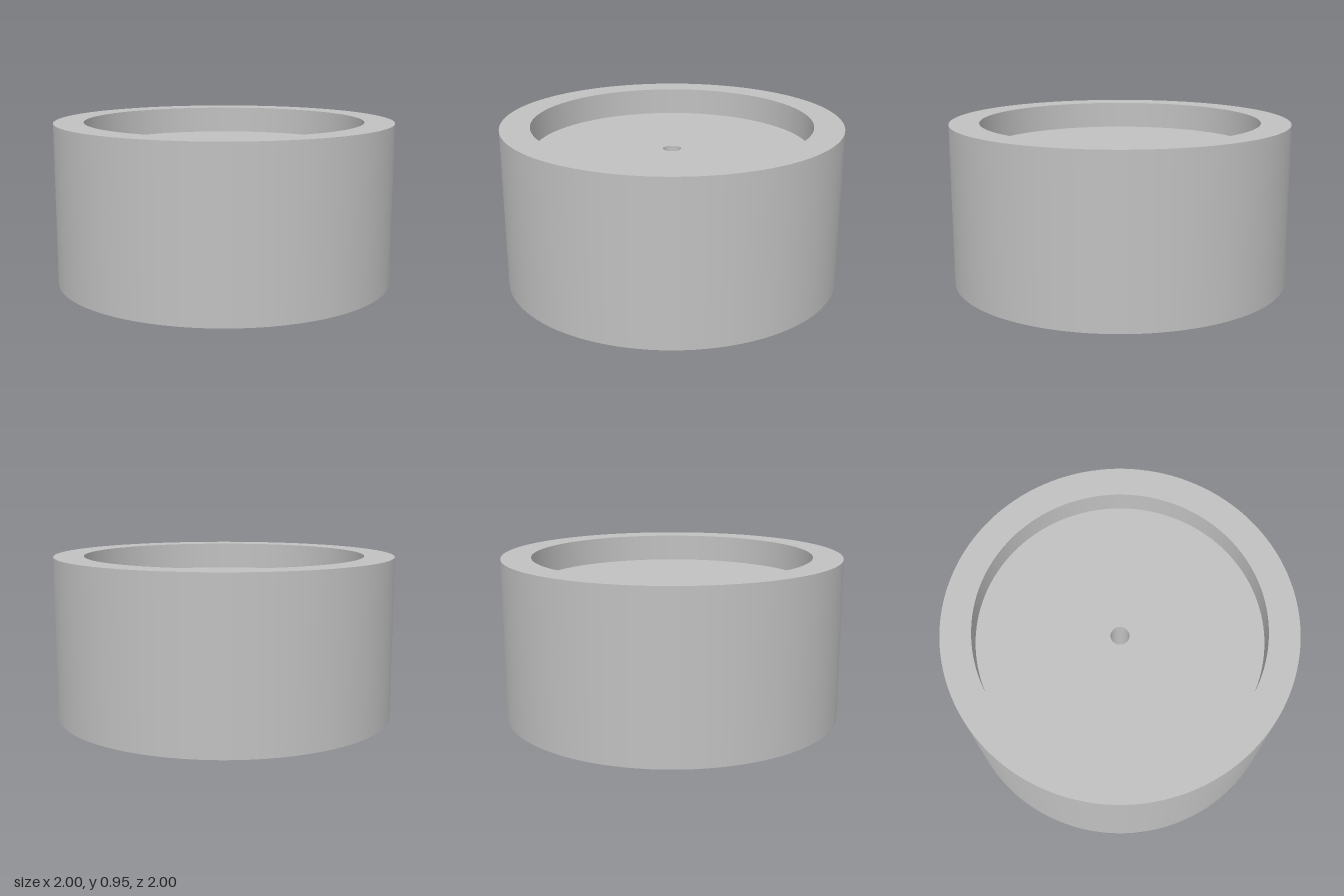
import * as THREE from 'three';

const HEIGHT = 0.95;
const OUTER = 1;
const RECESS = 0.825;
const BORE = 0.054;
const DEPTH = 0.163;
const SEGMENTS = 128;

export function createModel() {
  const grey = new THREE.MeshStandardMaterial({ color: 0xc0c0c0 });
  grey.name = 'grey';
  const model = new THREE.Group();
  model.name = 'recessedCylinder';

  // Closed section [radius, y], run so that every face looks outward
  const top = HEIGHT - DEPTH;
  const section = [
    ['outerWall', OUTER, 0],
    ['topRim', OUTER, HEIGHT],
    ['topRecessWall', RECESS, HEIGHT],
    ['topRecessFloor', RECESS, top],
    ['centreBore', BORE, top],
    ['bottomRecessFloor', BORE, DEPTH],
    ['bottomRecessWall', RECESS, DEPTH],
    ['bottomRim', RECESS, 0],
  ];

  // One lathe per section edge keeps the corners sharp and the walls smooth
  section.forEach(([name, r, y], i) => {
    const [, r2, y2] = section[(i + 1) % section.length];
    const edge = [new THREE.Vector2(r, y), new THREE.Vector2(r2, y2)];
    const mesh = new THREE.Mesh(new THREE.LatheGeometry(edge, SEGMENTS), grey);
    mesh.name = name;
    model.add(mesh);
  });

  return model;
}
